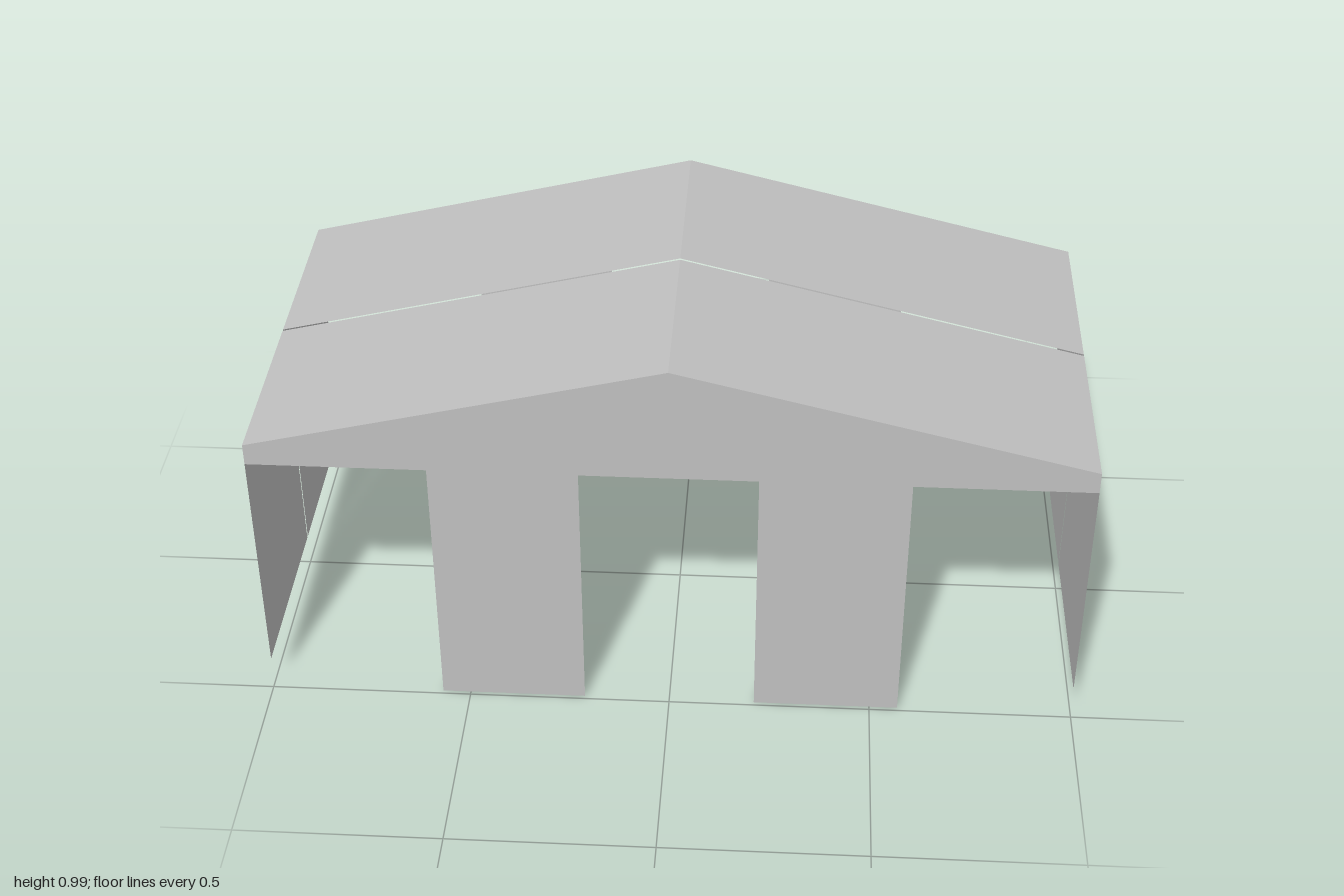
import * as THREE from 'three';

const APEX = 0.992, EAVE = 0.748, BEAM = 0.693, WALL_BOTTOM = 0.085;
const HALF_DEPTH = 0.49, SEAM = 0.003;

export function createModel() {
  const model = new THREE.Group();
  model.name = 'shelter';
  const sheet = new THREE.MeshStandardMaterial({ color: 0xc0c0c0, side: THREE.DoubleSide });
  sheet.name = 'greySheet';

  const add = (geometry, name) => {
    const mesh = new THREE.Mesh(geometry, sheet);
    mesh.name = name;
    model.add(mesh);
    return mesh;
  };

  // Flat sheet swept along z from z0 to z1 over the line (xa, ya) to (xb, yb), with xa <= xb
  const panel = (xa, ya, xb, yb, z0, z1, name) => {
    const geometry = new THREE.BufferGeometry();
    geometry.setAttribute('position', new THREE.Float32BufferAttribute(
      [xa, ya, z1, xb, yb, z1, xb, yb, z0, xa, ya, z0], 3));
    geometry.setIndex([0, 1, 2, 0, 2, 3]);
    geometry.computeVertexNormals();
    add(geometry, name);
  };

  // Gable outline with its two wide legs
  const gable = new THREE.Shape([
    [-1, BEAM], [-0.57, BEAM], [-0.57, 0], [-0.212, 0], [-0.212, BEAM],
    [0.212, BEAM], [0.212, 0], [0.57, 0], [0.57, BEAM], [1, BEAM],
    [1, EAVE], [0, APEX], [-1, EAVE],
  ].map(([x, y]) => new THREE.Vector2(x, y)));

  for (const [end, s] of [['front', 1], ['back', -1]]) {
    // End gable, facing outwards
    const wall = add(new THREE.ShapeGeometry(gable), end + 'Gable');
    wall.position.z = s * HALF_DEPTH;
    if (s < 0) wall.rotation.y = Math.PI;

    // Roof slopes and side walls, split by a narrow seam at the middle
    const z0 = s > 0 ? SEAM : -HALF_DEPTH;
    const z1 = s > 0 ? HALF_DEPTH : -SEAM;
    panel(-1, EAVE, 0, APEX, z0, z1, end + 'RightRoof');
    panel(0, APEX, 1, EAVE, z0, z1, end + 'LeftRoof');
    panel(-1, WALL_BOTTOM, -1, EAVE, z0, z1, end + 'RightWall');
    panel(1, EAVE, 1, WALL_BOTTOM, z0, z1, end + 'LeftWall');
  }
  return model;
}
